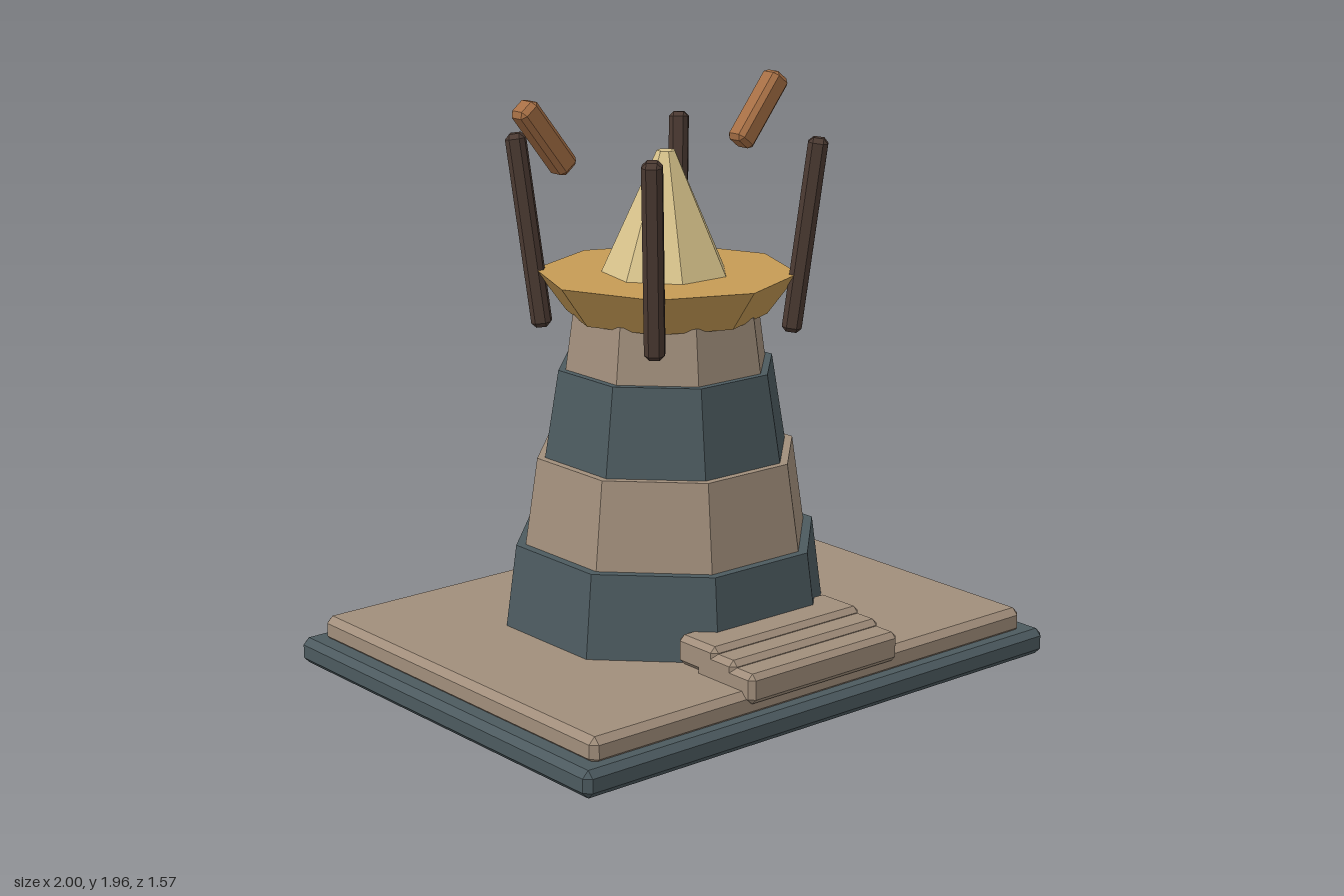
import * as THREE from 'three';
import { ConvexGeometry } from 'three/addons/geometries/ConvexGeometry.js';

const mat = (name, color) => {
  const m = new THREE.MeshStandardMaterial({ color });
  m.name = name;
  return m;
};

// Box with chamfered edges: three points near each corner
function chamferBox(w, h, d, b) {
  const pts = [];
  for (const x of [-1, 1]) for (const y of [-1, 1]) for (const z of [-1, 1]) {
    for (let k = 0; k < 3; k++) {
      pts.push(new THREE.Vector3(
        x * (w / 2 - (k === 0 ? 0 : b)),
        y * (h / 2 - (k === 1 ? 0 : b)),
        z * (d / 2 - (k === 2 ? 0 : b))));
    }
  }
  return new ConvexGeometry(pts);
}

// Faceted frustum standing between two heights
function frustum(rTop, rBottom, y0, y1, sides, turn) {
  const g = new THREE.CylinderGeometry(rTop, rBottom, y1 - y0, sides).toNonIndexed();
  g.rotateY(turn);
  g.translate(0, (y0 + y1) / 2, 0);
  g.computeVertexNormals();
  return g;
}

export function createModel() {
  const slate = mat('slate', 0x4c5a5f);
  const stone = mat('stone', 0xa18e7b);
  const gold = mat('gold', 0xc69b55);
  const straw = mat('straw', 0xdac58d);
  const darkWood = mat('darkWood', 0x4b3a32);
  const wood = mat('wood', 0xa66f45);

  const model = new THREE.Group();
  const add = (name, geometry, material, parent = model) => {
    const mesh = new THREE.Mesh(geometry, material);
    mesh.name = name;
    parent.add(mesh);
    return mesh;
  };

  // Two-layer plinth
  add('basePlinth', chamferBox(2, 0.09, 1.57, 0.022), slate).position.y = 0.045;
  add('upperPlinth', chamferBox(1.87, 0.09, 1.47, 0.022), stone).position.y = 0.121;

  // Entrance steps
  for (let i = 0; i < 3; i++) {
    add('step' + (i + 1), chamferBox(0.645, 0.1, 0.185, 0.018), stone)
      .position.set(0, 0.177 + i * 0.0205, 0.668 - i * 0.09);
  }

  // Tower group sits slightly behind the centre
  const tower = new THREE.Group();
  tower.name = 'tower';
  tower.position.z = -0.04;
  model.add(tower);

  // Octagonal tiers: bottom and top half-widths, then heights
  const tiers = [
    [0.52, 0.485, 0.16, 0.445],
    [0.455, 0.415, 0.445, 0.74],
    [0.39, 0.345, 0.74, 1.035],
    [0.322, 0.298, 1.035, 1.22],
  ];
  const k = 1 / Math.cos(Math.PI / 8);
  tiers.forEach(([b, t, y0, y1], i) =>
    add('tier' + (i + 1), frustum(t * k, b * k, y0, y1, 8, Math.PI / 8), i % 2 ? stone : slate, tower));

  // Flared rim and seven-sided spire
  add('rim', frustum(0.438, 0.335, 1.207, 1.345, 8, 0), gold, tower);
  add('spire', frustum(0.031, 0.215, 1.345, 1.75, 7, Math.PI), straw, tower);

  // Four posts leaning outward along the diagonals
  const postGeometry = chamferBox(0.066, 0.655, 0.066, 0.016);
  for (let i = 0; i < 4; i++) {
    const pivot = new THREE.Group();
    pivot.name = 'post' + (i + 1);
    pivot.rotation.y = Math.PI / 4 + i * Math.PI / 2;
    tower.add(pivot);
    const post = add('postBeam', postGeometry, darkWood, pivot);
    post.position.set(0, 1.474, 0.457);
    post.rotation.x = Math.atan2(0.083, 0.645);
  }

  // Pair of slanted arms
  const armGeometry = chamferBox(0.08, 0.28, 0.08, 0.016);
  for (const s of [-1, 1]) {
    const arm = add(s > 0 ? 'leftArm' : 'rightArm', armGeometry, wood);
    arm.position.set(s * 0.456, 1.832, -0.1);
    arm.rotation.z = -s * 0.67;
  }

  return model;
}
